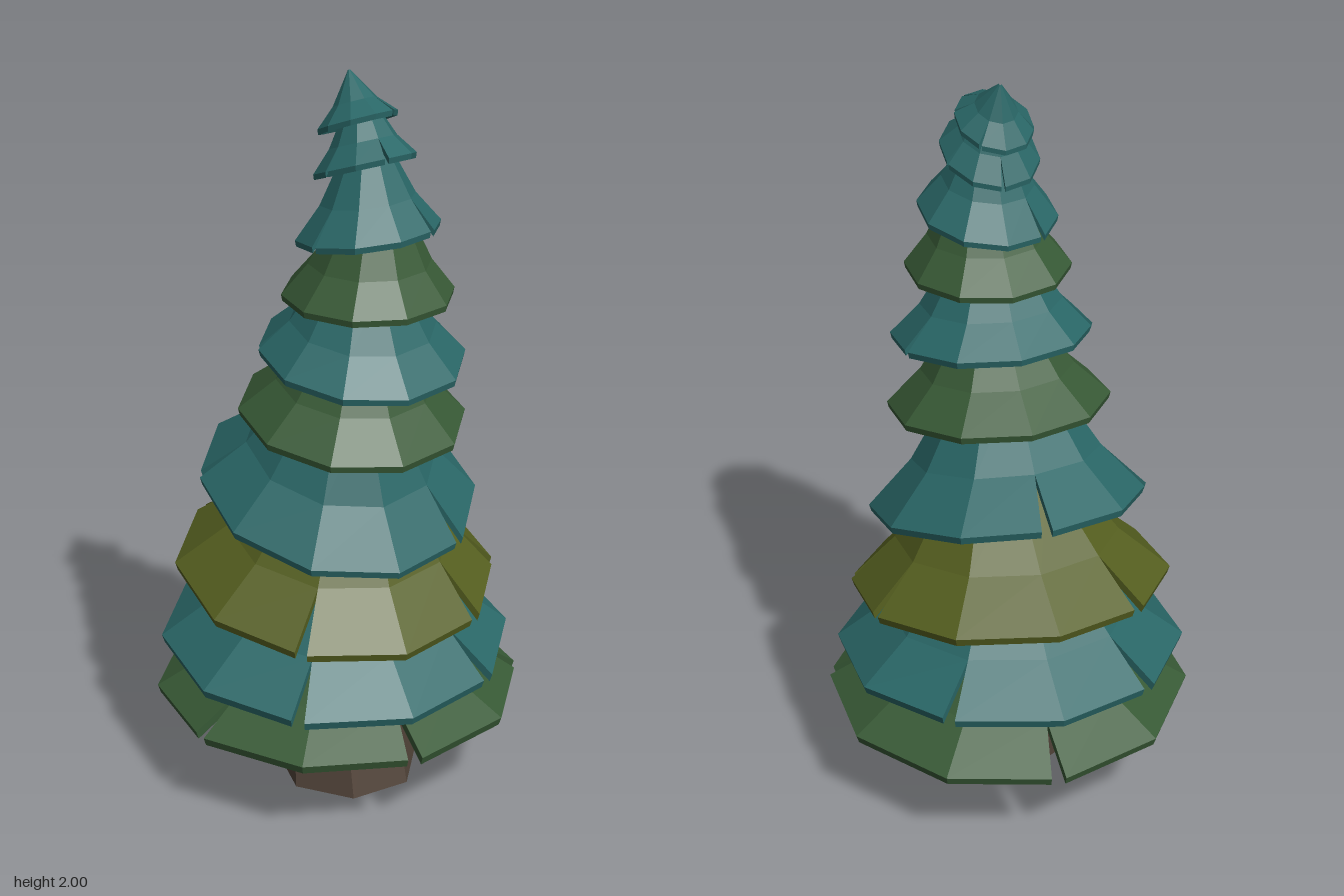
import * as THREE from 'three';

const SIDES = 10;
const TEAL = 0x2a6868, GREEN = 0x385a36, OLIVE = 0x566020, BARK = 0x53453a;

// rim: [x, y, z, radius], tilt: rise of the rim per unit of x and z,
// neck: [x, y, z, radius] where the skirt slips under the next one,
// notches: corners at which the skirt is split
const TIERS = [
  { color: GREEN, rim: [0, 0.25, 0, 0.503], tilt: [0, 0], neck: [0, 0.5, 0, 0.19], notches: [1, 3, 6, 9] },
  { color: TEAL, rim: [-0.01, 0.395, 0, 0.48], tilt: [-0.065, -0.04], neck: [0, 0.7, 0, 0.18], notches: [0, 2, 5, 7] },
  { color: OLIVE, rim: [-0.01, 0.6, 0, 0.438], tilt: [-0.15, -0.07], neck: [0.04, 0.93, 0.01, 0.155], notches: [0, 2, 5, 8, 9] },
  { color: TEAL, rim: [0, 0.845, 0, 0.375], tilt: [-0.26, -0.11], neck: [0.07, 1.17, 0.045, 0.12], notches: [0, 4, 6] },
  { color: GREEN, rim: [0.085, 1.095, 0.045, 0.3], tilt: [-0.137, -0.05], neck: [0.12, 1.34, 0.06, 0.1], notches: [] },
  { color: TEAL, rim: [0.13, 1.28, 0.06, 0.27], tilt: [-0.135, -0.05], neck: [0.145, 1.5, 0.07, 0.1], notches: [4, 8] },
  { color: GREEN, rim: [0.165, 1.455, 0.08, 0.222], tilt: [0, 0], neck: [0.18, 1.68, 0.08, 0.085], notches: [] },
  { color: TEAL, rim: [0.16, 1.615, 0.075, 0.185], tilt: [0.16, 0], neck: [0.15, 1.84, 0.07, 0.05], notches: [0, 3, 5] },
  { color: TEAL, rim: [0.145, 1.785, 0.07, 0.13], tilt: [0.38, 0.1], neck: [0.115, 1.93, 0.055, 0.035], notches: [1, 3, 6, 8] },
  { color: TEAL, rim: [0.105, 1.885, 0.05, 0.102], tilt: [0.42, 0.1], neck: [0.06, 2, 0.03, 0.003], notches: [0, 4, 7, 9] },
];

function material(color) {
  return new THREE.MeshStandardMaterial({ color, flatShading: true });
}

function geometryFrom(positions) {
  const geometry = new THREE.BufferGeometry();
  geometry.setAttribute('position', new THREE.Float32BufferAttribute(positions, 3));
  geometry.computeVertexNormals();
  return geometry;
}

function addQuad(out, a, b, c, d) {
  for (const p of [a, b, c, a, c, d]) out.push(p.x, p.y, p.z);
}

// One corner of a ring whose plane is tilted
function corner([x, y, z, r], tilt, k) {
  const a = THREE.MathUtils.degToRad(-11 + (k * 360) / SIDES);
  const dx = Math.cos(a) * r, dz = Math.sin(a) * r;
  return new THREE.Vector3(x + dx, y + dx * tilt[0] + dz * tilt[1], z + dz);
}

// Flared, thick skirt made of panels that part at the notches
function skirtGeometry({ rim, tilt, neck, notches }) {
  const out = [];
  const mid = rim.map((v, i) => THREE.MathUtils.lerp(v, neck[i], i === 3 ? 0.47 : 0.36));
  const thick = 0.012 + rim[3] * 0.022;
  const lower = ([x, y, z, r]) => [x, y - thick, z, r * 0.985];

  for (let k = 0; k < SIDES; k++) {
    const next = (k + 1) % SIDES;
    const startCut = notches.includes(k), endCut = notches.includes(next);
    const panel = (rings) => rings.map((ring, i) => {
      const a = corner(ring, tilt, k), b = corner(ring, tilt, next);
      if (i < 2) return [a, b];
      return [a.clone().lerp(b, startCut ? 0.1 : 0), b.clone().lerp(a, endCut ? 0.03 : 0)];
    });
    const top = panel([neck, mid, rim]);
    const under = panel([neck, mid, rim].map(lower));

    // Upper and lower faces
    for (let i = 0; i < 2; i++) {
      addQuad(out, top[i][0], top[i][1], top[i + 1][1], top[i + 1][0]);
      addQuad(out, under[i][0], under[i + 1][0], under[i + 1][1], under[i][1]);
    }
    // Rim edge and the walls of the notches
    addQuad(out, top[2][0], top[2][1], under[2][1], under[2][0]);
    if (startCut) addQuad(out, top[1][0], top[2][0], under[2][0], under[1][0]);
    if (endCut) addQuad(out, top[1][1], under[1][1], under[2][1], top[2][1]);
  }
  return geometryFrom(out);
}

// Seven-sided trunk, leaning as it rises
function trunkGeometry() {
  const height = 0.42;
  const geometry = new THREE.CylinderGeometry(0.165, 0.196, height, 7);
  geometry.rotateY(THREE.MathUtils.degToRad(-46 + 90));
  geometry.translate(0, height / 2, 0);
  const p = geometry.attributes.position;
  for (let i = 0; i < p.count; i++) {
    const t = p.getY(i) / height;
    p.setX(i, p.getX(i) + 0.057 - 0.06 * t);
    p.setZ(i, p.getZ(i) + 0.025 - 0.015 * t);
  }
  geometry.computeVertexNormals();
  return geometry;
}

export function createModel() {
  const tree = new THREE.Group();
  tree.name = 'pineTree';

  const trunk = new THREE.Mesh(trunkGeometry(), material(BARK));
  trunk.name = 'trunk';
  tree.add(trunk);

  TIERS.forEach((tier, i) => {
    const skirt = new THREE.Mesh(skirtGeometry(tier), material(tier.color));
    skirt.name = `branchTier${i + 1}`;
    tree.add(skirt);
  });
  return tree;
}
